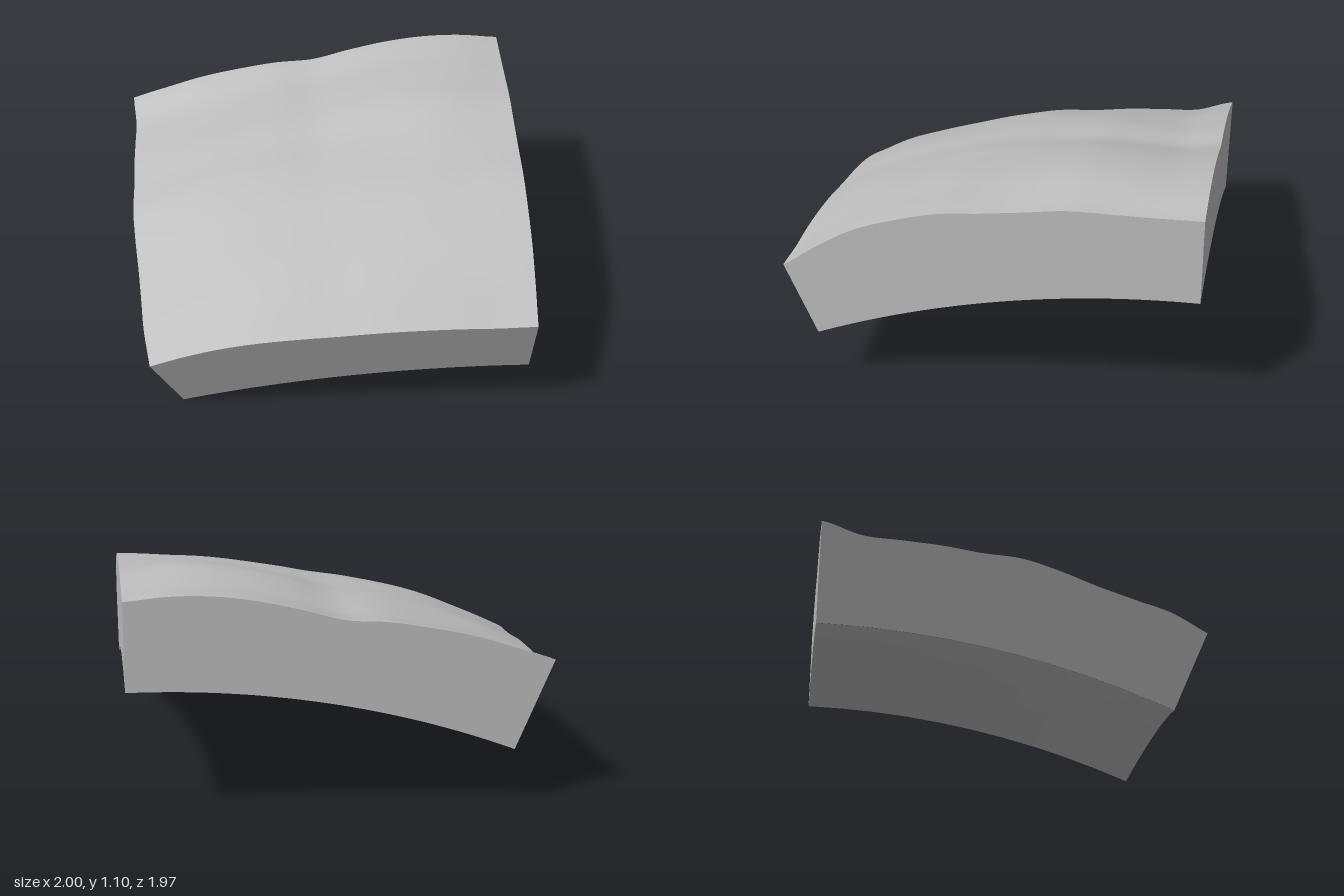
import * as THREE from 'three';

// The slab is a 22.5 degree square patch of a thick spherical shell.
const CENTRE = new THREE.Vector3(1, -4.1, -0.985);
const SPAN = Math.PI / 8;
const INNER = 4.755;

// Outer radius along each edge, evenly spaced
const profile = (radii) => {
  const curve = new THREE.SplineCurve(radii.map((r, i) => new THREE.Vector2(i, r)));
  return (t) => curve.getPoint(t).y;
};
const back = profile([5.183, 5.204, 5.21, 5.2, 5.18, 5.16, 5.186, 5.202, 5.216, 5.22, 5.228]);
const front = profile([5.147, 5.141, 5.15, 5.158, 5.165, 5.17, 5.185, 5.199, 5.2, 5.183, 5.155]);
const right = profile([5.183, 5.183, 5.194, 5.213, 5.214, 5.224, 5.246, 5.246, 5.236, 5.196, 5.147]);
const left = profile([5.228, 5.177, 5.175, 5.18, 5.181, 5.198, 5.188, 5.172, 5.17, 5.176, 5.155]);

const mix = THREE.MathUtils.lerp;

// Gentle hills and hollows: u, v, width, height
const hills = [
  [0.27, 0.26, 0.13, 0.02],
  [0.27, 0.55, 0.12, -0.012],
  [0.6, 0.35, 0.14, 0.008],
  [0.55, 0.75, 0.16, 0.008],
  [0.8, 0.2, 0.1, -0.01],
];

// Blend the four edge profiles across the patch, then add the hills
function outerRadius(u, v) {
  const edges = mix(back(u), front(u), v) + mix(right(v), left(v), u);
  const corners = mix(mix(back(0), back(1), u), mix(front(0), front(1), u), v);
  let bump = 0;
  for (const [hu, hv, w, h] of hills) {
    bump += h * Math.exp(-((u - hu) ** 2 + (v - hv) ** 2) / (2 * w * w));
  }
  bump += 0.003 * Math.sin(17 * u + 5 * v) * Math.sin(13 * v - 7 * u + 1);
  const fade = Math.min(1, 8 * u * (1 - u)) * Math.min(1, 8 * v * (1 - v));
  return edges - corners + bump * fade;
}

// Point on the shell: u runs right to left, v back to front
function shellPoint(u, v, radius) {
  return new THREE.Vector3(-Math.tan(u * SPAN), 1, Math.tan(v * SPAN))
    .setLength(radius)
    .add(CENTRE);
}

const outer = (u, v) => shellPoint(u, v, outerRadius(u, v));
const inner = (u, v) => shellPoint(u, v, INNER);

// Grid surface from a point rule
function sheet(rule, nu, nv) {
  const positions = [];
  const index = [];
  for (let j = 0; j <= nv; j++) {
    for (let i = 0; i <= nu; i++) {
      positions.push(...rule(i / nu, j / nv).toArray());
      if (i < nu && j < nv) {
        const a = j * (nu + 1) + i;
        const b = a + nu + 1;
        index.push(a, a + 1, b + 1, a, b + 1, b);
      }
    }
  }
  const geometry = new THREE.BufferGeometry();
  geometry.setAttribute('position', new THREE.Float32BufferAttribute(positions, 3));
  geometry.setIndex(index);
  geometry.computeVertexNormals();
  return geometry;
}

export function createModel() {
  const group = new THREE.Group();
  group.name = 'curvedTerrainSlab';
  const stone = new THREE.MeshStandardMaterial({ color: 0xbfbfbf });
  stone.name = 'stoneGrey';

  const add = (name, geometry) => {
    const mesh = new THREE.Mesh(geometry, stone);
    mesh.name = name;
    group.add(mesh);
  };

  // Rolling top and faceted underside
  add('terrainTop', sheet(outer, 64, 64));
  add('underside', sheet((s, t) => inner(1 - s, t), 10, 10).toNonIndexed());
  group.getObjectByName('underside').geometry.computeVertexNormals();

  // Four flat cut walls, each following one edge of the patch
  const walls = {
    rightWall: (s) => [0, s],
    leftWall: (s) => [1, 1 - s],
    frontWall: (s) => [s, 1],
    backWall: (s) => [1 - s, 0],
  };
  for (const [name, edge] of Object.entries(walls)) {
    add(name, sheet((s, t) => outer(...edge(s)).lerp(inner(...edge(s)), t), 64, 1));
  }
  return group;
}
